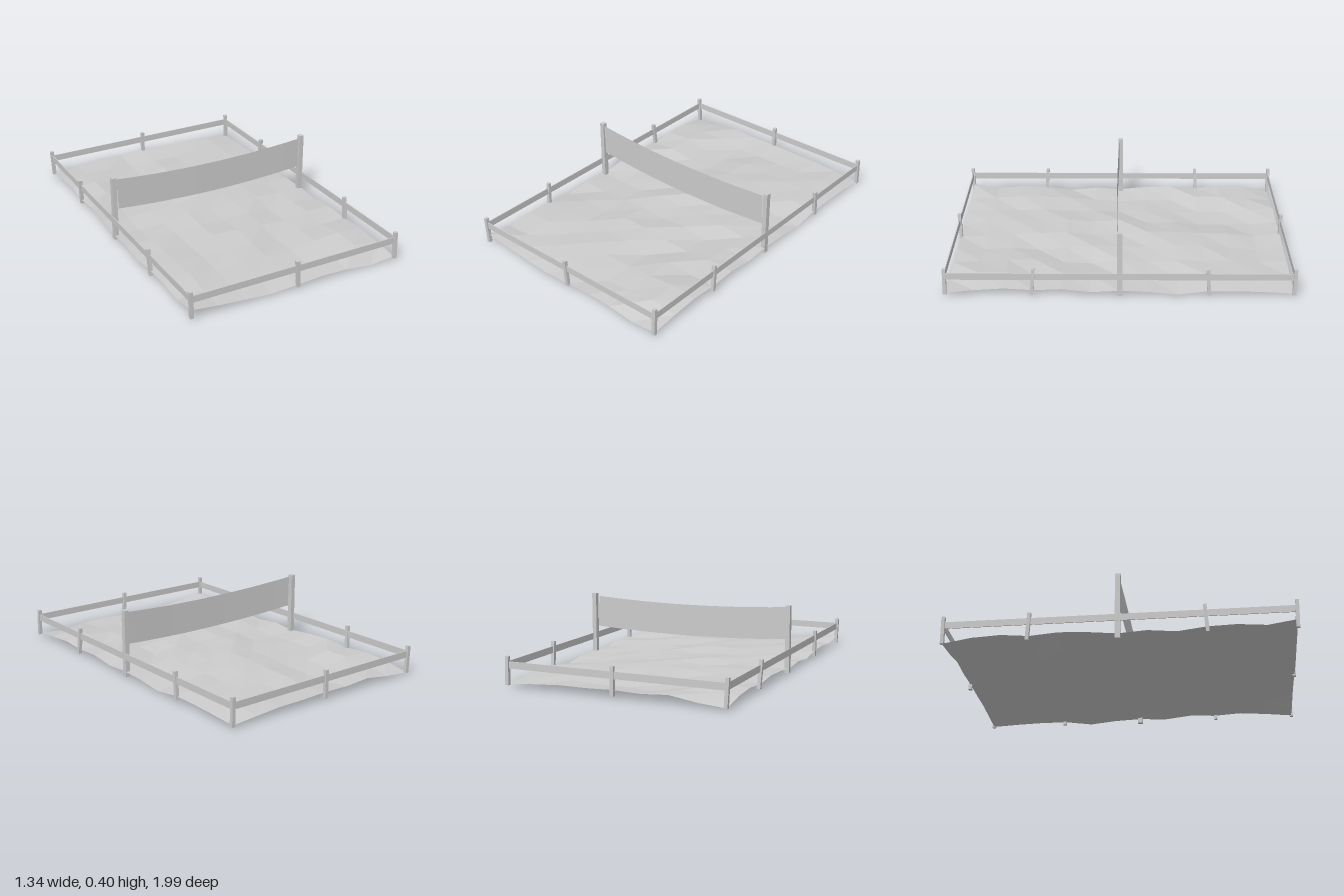
import * as THREE from 'three';

const HX = 0.655, HZ = 0.985;
const mat = new THREE.MeshStandardMaterial({ color: 0xcccccc, flatShading: true, side: THREE.DoubleSide });

function box(name, w, h, d, x, y, z) {
  const m = new THREE.Mesh(new THREE.BoxGeometry(w, h, d), mat);
  m.name = name;
  m.position.set(x, y, z);
  return m;
}

// Uneven sand: an 8 x 12 grid with gentle waves and seeded bumps
function makeSand() {
  const nx = 8, nz = 12;
  const front = [0.06, 0.04, 0.025, 0.012, 0.02, 0.03, 0.025, 0.005, 0.018];
  const back = [0.012, 0.025, 0.05, 0.04, 0.045, 0.04, 0.04, 0.03, 0.018];
  const noise = (i, j) => {
    const s = Math.sin(i * 127.1 + j * 311.7 + 5.3) * 43758.5453;
    return s - Math.floor(s) - 0.5;
  };
  const g = new THREE.PlaneGeometry(HX * 2, HZ * 2, nx, nz).rotateX(-Math.PI / 2);
  const p = g.attributes.position;
  for (let j = 0; j <= nz; j++) {
    for (let i = 0; i <= nx; i++) {
      let y = 0.038 + 0.009 * Math.sin(i * 1.1 + j * 0.6) + 0.026 * noise(i, j);
      if (i === nx) y -= 0.008;
      if (j === 0) y = back[i];
      if (j === nz) y = front[i];
      p.setY(j * (nx + 1) + i, y);
    }
  }
  g.computeVertexNormals();
  const m = new THREE.Mesh(g, mat);
  m.name = 'sand';
  return m;
}

// Sagging net panel, open cloth bowing slightly forward
function makeNet() {
  const g = new THREE.PlaneGeometry(1.245, 0.19, 12, 1);
  const p = g.attributes.position;
  for (let i = 0; i < p.count; i++) {
    const x = p.getX(i), t = x / 0.6225, top = p.getY(i) > 0;
    p.setXYZ(i, x + (top ? -0.004 : 0.002),
      (top ? 0.362 : 0.171) + 0.023 * t * t - 0.003 * t,
      0.008 + 0.01 * (1 - t * t));
  }
  g.computeVertexNormals();
  const m = new THREE.Mesh(g, mat);
  m.name = 'net';
  return m;
}

export function createModel() {
  const group = new THREE.Group();
  group.add(makeSand(), makeNet());

  // Tall net poles
  for (const s of [-1, 1]) group.add(box('netPole', 0.028, 0.4, 0.03, s * 0.643, 0.2, 0));

  // Slightly crooked fence posts: x, z, lean along x, lean along z
  const posts = [
    [-HX, HZ, 0.04, 0.02], [0, HZ, 0.06, 0.02], [HX, HZ, 0, -0.04],
    [-HX, 0.49, 0.05, -0.08], [HX, 0.49, 0.02, -0.08],
    [-HX, -0.5, 0.06, 0.07], [HX, -0.5, 0, 0.07],
    [-HX, -HZ, 0.05, 0], [0, -HZ, 0, 0], [HX, -HZ, 0.02, 0],
  ];
  for (const [x, z, lx, lz] of posts) {
    const post = box('fencePost', 0.021, 0.164, 0.02, x, 0.093, z);
    post.rotation.set(lz, 0, lx);
    group.add(post);
  }

  // Flat boards running around the court
  for (const s of [-1, 1]) {
    group.add(box('endRail', HX * 2, 0.04, 0.005, 0, 0.125, s * HZ));
    group.add(box('sideRail', 0.005, 0.04, HZ * 2, s * HX, 0.125, 0));
  }
  return group;
}
